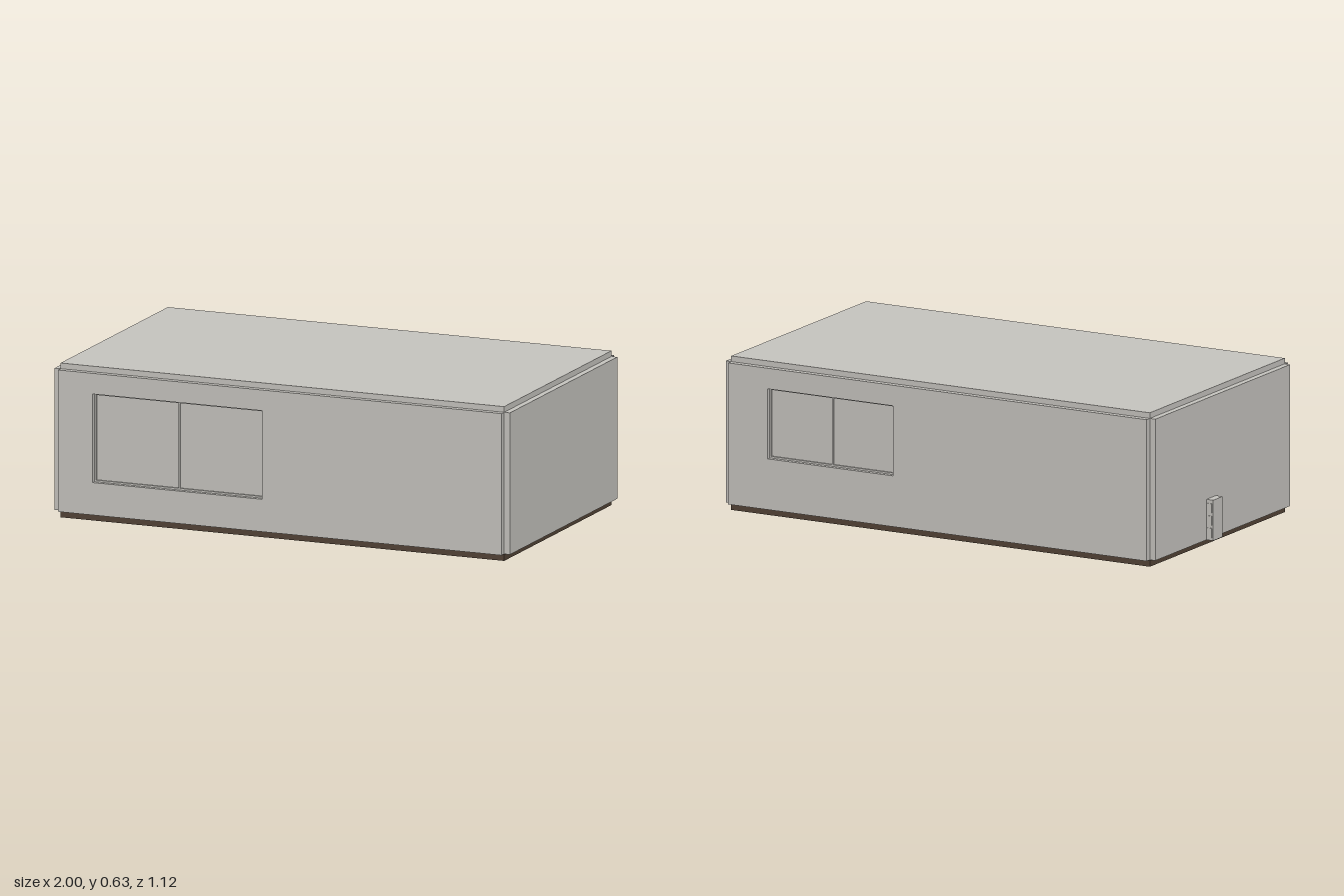
import * as THREE from 'three';

export function createModel() {
  const model = new THREE.Group();
  const wallGrey = new THREE.MeshStandardMaterial({ color: 0xc8c6c1 });
  wallGrey.name = 'wallGrey';
  const baseBrown = new THREE.MeshStandardMaterial({ color: 0x544437 });
  baseBrown.name = 'baseBrown';

  // Core extents; every cladding panel is one thickness T outside the core
  const X0 = -0.945, X1 = 0.97, Z = 0.533, Y0 = 0.028, Y1 = 0.604, T = 0.025;

  // Box given by its minimum and maximum corners
  function box(name, x0, x1, y0, y1, z0, z1, material = wallGrey, parent = model) {
    const mesh = new THREE.Mesh(new THREE.BoxGeometry(x1 - x0, y1 - y0, z1 - z0), material);
    mesh.position.set((x0 + x1) / 2, (y0 + y1) / 2, (z0 + z1) / 2);
    mesh.name = name;
    parent.add(mesh);
    return mesh;
  }

  function rectangle(target, x0, x1, y0, y1) {
    target.moveTo(x0, y0);
    target.lineTo(x1, y0);
    target.lineTo(x1, y1);
    target.lineTo(x0, y1);
    target.closePath();
    return target;
  }

  // Long wall with a window opening, built facing +z from z = 0
  function windowWall(name, x0, x1, wx0, wx1, wy0, wy1) {
    const group = new THREE.Group();
    group.name = name;
    const shape = rectangle(new THREE.Shape(), x0, x1, Y0, Y1);
    shape.holes.push(rectangle(new THREE.Path(), wx0, wx1, wy0, wy1));
    const panel = new THREE.Mesh(
      new THREE.ExtrudeGeometry(shape, { depth: T, bevelEnabled: false }), wallGrey);
    panel.name = name + 'Panel';
    group.add(panel);

    // Slim frame and central mullion inside the recess
    const f = 0.007, d = 0.007, mid = (wx0 + wx1) / 2;
    box('windowSill', wx0, wx1, wy0, wy0 + f, 0, d, wallGrey, group);
    box('windowHead', wx0, wx1, wy1 - f, wy1, 0, d, wallGrey, group);
    for (const x of [wx0, mid - f / 2, wx1 - f])
      box('windowUpright', x, x + f, wy0 + f, wy1 - f, 0, d, wallGrey, group);
    model.add(group);
    return group;
  }

  // Floor base and solid core
  box('floorBase', X0, X1, 0, Y0, -Z, Z, baseBrown);
  box('buildingCore', X0, X1, Y0, Y1, -Z, Z);

  // Flat roof and end walls
  box('roofPanel', X0, X1, Y1, Y1 + T - 0.002, -Z, Z);
  box('leftWall', X1, X1 + T, Y0, Y1, -Z, Z);
  box('rightWall', X0 - T, X0, Y0, Y1, -Z, Z);

  // Front and back walls with their two-pane windows
  windowWall('frontWall', X0, X1, -0.795, -0.065, 0.16, 0.52).position.z = Z;
  const back = windowWall('backWall', -X1, -X0, -0.79, -0.215, 0.235, 0.52);
  back.rotation.y = Math.PI;
  back.position.z = -Z;

  // Service box low on the right wall, with raised side plates
  const service = new THREE.Group();
  service.name = 'serviceBox';
  model.add(service);
  box('serviceBoxBody', -1, X0 - T, Y0, 0.193, -0.128, -0.053, wallGrey, service);
  box('serviceBoxFrontPlate', -0.995, -0.975, 0.037, 0.185, -0.053, -0.05, wallGrey, service);
  for (let i = 0; i < 3; i++) {
    const y = 0.04 + i * 0.05;
    box('serviceBoxVent', -0.995, -0.975, y, y + 0.038, -0.131, -0.128, wallGrey, service);
  }

  return model;
}
